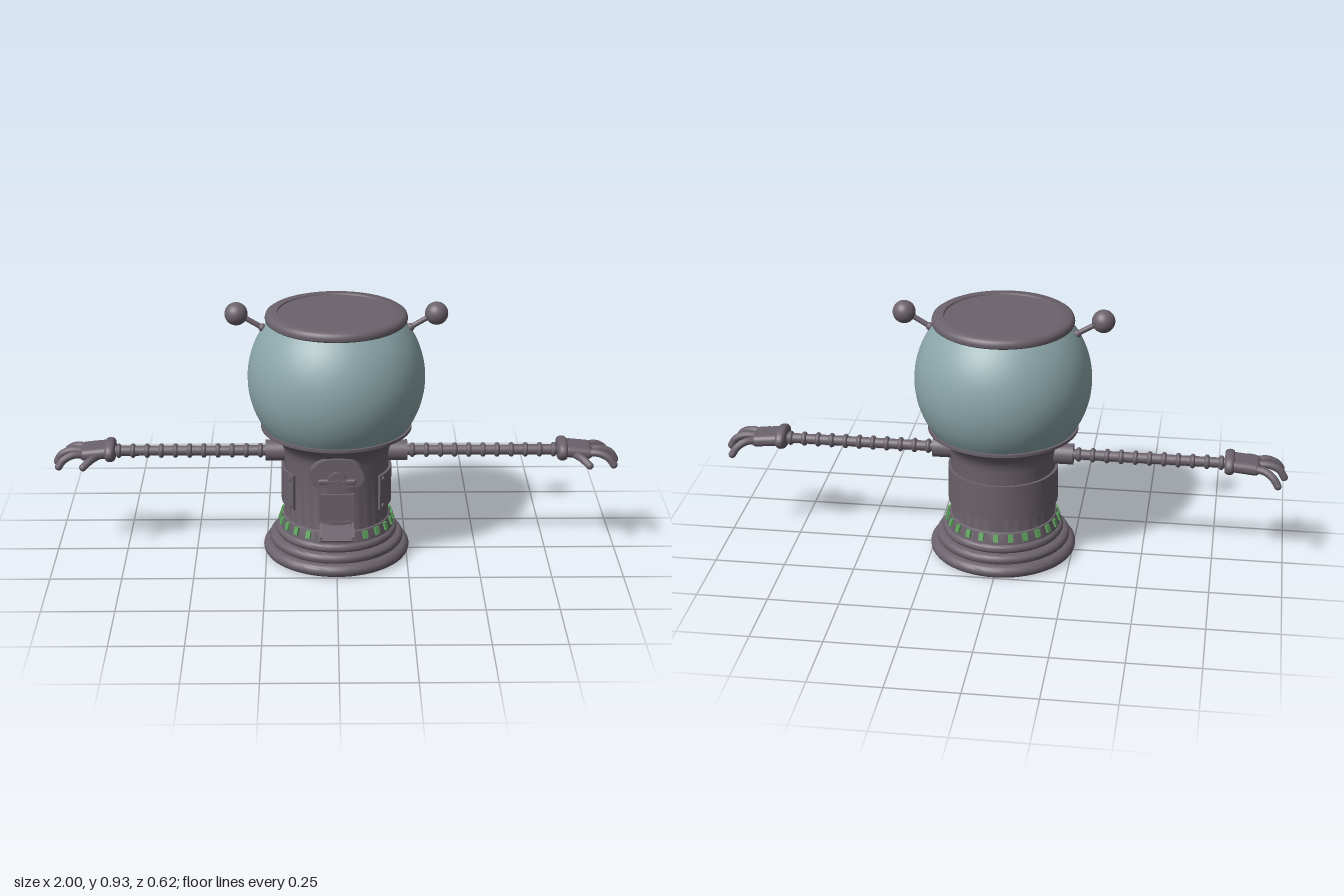
import * as THREE from 'three';
import { toCreasedNormals } from 'three/addons/utils/BufferGeometryUtils.js';
import { RoundedBoxGeometry } from 'three/addons/geometries/RoundedBoxGeometry.js';

const metal = new THREE.MeshStandardMaterial({ color: 0x6b626b });
const glass = new THREE.MeshStandardMaterial({ color: 0x8ba6a9 });
const green = new THREE.MeshStandardMaterial({ color: 0x5fa35f });
const V = (x, y, z) => new THREE.Vector3(x, y, z);

export function createModel() {
  const root = new THREE.Group();

  function add(name, geo, pos = [0, 0, 0], mat = metal, parent = root) {
    const mesh = new THREE.Mesh(geo, mat);
    mesh.name = name;
    mesh.position.set(...pos);
    parent.add(mesh);
    return mesh;
  }
  const lathe = (pts, seg = 64) => toCreasedNormals(
    new THREE.LatheGeometry(pts.map(p => new THREE.Vector2(...p)), seg), 0.7);
  // disc with a softly rounded rim, from y0 to y1
  function roundDisc(r, y0, y1) {
    const h = (y1 - y0) / 2, pts = [[0, y0]];
    for (let i = 0; i <= 8; i++) {
      const a = -Math.PI / 2 + i * Math.PI / 8;
      pts.push([r - h + h * Math.cos(a), y0 + h + h * Math.sin(a)]);
    }
    pts.push([0, y1]);
    return lathe(pts);
  }
  // cylinder between two points
  function rod(name, a, b, r, parent, seg = 20) {
    const m = add(name, new THREE.CylinderGeometry(r, r, a.distanceTo(b), seg),
      a.clone().add(b).multiplyScalar(0.5).toArray(), metal, parent);
    m.quaternion.setFromUnitVectors(V(0, 1, 0), b.clone().sub(a).normalize());
    return m;
  }

  // stepped base
  [[0.26, 0, 0.045], [0.238, 0.042, 0.078], [0.216, 0.075, 0.108]].forEach(
    ([r, a, b], i) => add('baseRing' + (i + 1), roundDisc(r, a, b)));

  // column with flared collar
  add('column', lathe([[0, 0.1], [0.203, 0.1], [0.203, 0.112], [0.191, 0.145], [0.185, 0.148],
    [0.185, 0.38], [0.188, 0.402], [0.197, 0.422], [0.215, 0.442], [0.238, 0.46], [0.257, 0.471],
    [0.265, 0.475], [0.265, 0.485], [0, 0.485]]));

  // ring of lamps
  const lamps = new THREE.Group();
  lamps.name = 'lamps';
  root.add(lamps);
  for (let i = 0; i < 24; i++) {
    const a = i * Math.PI / 12;
    const m = add('lamp', new THREE.BoxGeometry(0.018, 0.028, 0.014),
      [0.197 * Math.sin(a), 0.13, 0.197 * Math.cos(a)], green, lamps);
    m.rotation.set(-0.3, a, 0, 'YXZ');
  }

  // globe
  const globePts = [];
  for (let i = 0; i <= 28; i++) {
    const y = 0.483 + i * 0.382 / 28;
    globePts.push([Math.sqrt(0.309 ** 2 - (y - 0.658) ** 2), y]);
  }
  add('globe', lathe(globePts), [0, 0, 0], glass);

  // lid with a slightly recessed centre
  add('lid', lathe([[0, 0.861], [0.238, 0.861], [0.245, 0.866], [0.247, 0.876], [0.243, 0.888],
    [0.234, 0.894], [0.205, 0.895], [0.203, 0.89], [0, 0.89]]));

  // curved panel wrapping the back, edges at the front corners
  const edge = Math.atan2(0.152, 0.12), sweep = 2 * Math.PI - 2 * edge;
  const panelGeo = toCreasedNormals(new THREE.LatheGeometry([[0.18, 0.2], [0.195, 0.2],
    [0.195, 0.33], [0.18, 0.33]].map(p => new THREE.Vector2(...p)), 48, edge, sweep), 0.7);
  add('backPanel', panelGeo);
  for (const s of [-1, 1]) {
    const m = add('panelEdge', new THREE.BoxGeometry(0.002, 0.13, 0.015),
      [s * 0.1875 * Math.sin(edge), 0.265, 0.1875 * Math.cos(edge)]);
    m.rotation.y = s * edge;
    for (const y of [0.214, 0.316]) {
      const a = edge + 0.08;
      const dir = V(s * Math.sin(a), 0, Math.cos(a));
      const p = dir.clone().multiplyScalar(0.19).setY(y);
      rod('bolt', p, p.clone().addScaledVector(dir, 0.01), 0.008, root, 12);
    }
  }

  // coin plate: three-lobed outline
  const plate = new THREE.Shape();
  plate.moveTo(-0.075, 0.33);
  plate.lineTo(-0.04, 0.325);
  plate.lineTo(0.04, 0.325);
  plate.lineTo(0.075, 0.33);
  plate.quadraticCurveTo(0.1, 0.345, 0.09, 0.385);
  plate.quadraticCurveTo(0.075, 0.41, 0.05, 0.425);
  plate.quadraticCurveTo(0, 0.438, -0.05, 0.425);
  plate.quadraticCurveTo(-0.075, 0.41, -0.09, 0.385);
  plate.quadraticCurveTo(-0.1, 0.345, -0.075, 0.33);
  add('coinPlate', toCreasedNormals(new THREE.ExtrudeGeometry(plate,
    { depth: 0.065, bevelEnabled: false, curveSegments: 8 }), 0.6), [0, 0, 0.15]);
  // turning knob
  rod('knobShaft', V(0, 0.36, 0.2), V(0, 0.36, 0.255), 0.011);
  rod('knobDisc', V(0, 0.36, 0.221), V(0, 0.36, 0.229), 0.022, root, 28);
  rod('knob', V(0, 0.36, 0.232), V(0, 0.36, 0.246), 0.033, root, 28);
  add('knobHandle', new RoundedBoxGeometry(0.13, 0.018, 0.014, 3, 0.006), [0, 0.36, 0.24]);

  // dispensing chute: frame, backing door, sloped tray
  const frame = new THREE.Shape();
  const rect = (p, x, y0, y1) => {
    p.moveTo(-x, y0); p.lineTo(x, y0); p.lineTo(x, y1); p.lineTo(-x, y1); p.closePath();
    return p;
  };
  rect(frame, 0.06, 0.185, 0.29);
  frame.holes.push(rect(new THREE.Path(), 0.05, 0.19, 0.28));
  add('chuteFrame', new THREE.ExtrudeGeometry(frame, { depth: 0.035, bevelEnabled: false }), [0, 0, 0.158]);
  add('chuteDoor', new THREE.BoxGeometry(0.11, 0.1, 0.03), [0, 0.236, 0.172]);
  const traySide = new THREE.Shape([[0.17, 0.168], [0.25, 0.135], [0.25, 0.155], [0.185, 0.19], [0.17, 0.19]]
    .map(p => new THREE.Vector2(...p)));
  const trayGeo = new THREE.ExtrudeGeometry(traySide, { depth: 0.01, bevelEnabled: false });
  for (const x of [-0.06, 0.05]) add('trayWall', trayGeo, [x + 0.01, 0, 0]).rotation.y = -Math.PI / 2;
  const tray = add('trayFloor', new THREE.BoxGeometry(0.11, 0.008, 0.086), [0, 0.156, 0.211]);
  tray.rotation.x = 0.4;

  // antennae and arms on both sides
  for (const s of [-1, 1]) {
    const side = s > 0 ? 'left' : 'right';
    const antenna = new THREE.Group();
    antenna.name = side + 'Antenna';
    root.add(antenna);
    rod('antennaRod', V(s * 0.235, 0.825, 0), V(s * 0.345, 0.89, 0), 0.009, antenna);
    add('antennaFoot', new THREE.SphereGeometry(0.014, 16, 12), [s * 0.256, 0.837, 0], metal, antenna);
    add('antennaBall', new THREE.SphereGeometry(0.04, 32, 20), [s * 0.345, 0.887, 0], metal, antenna);

    const arm = new THREE.Group();
    arm.name = side + 'Arm';
    root.add(arm);
    const Y = 0.38;
    rod('shoulderSocket', V(s * 0.16, Y, 0), V(s * 0.25, Y, 0), 0.037, arm, 32);
    rod('hose', V(s * 0.24, Y, 0), V(s * 0.8, Y, 0), 0.018, arm);
    for (let i = 0; i < 11; i++) {
      const ring = add('hoseRing', new THREE.TorusGeometry(0.017, 0.009, 10, 24), [s * (0.268 + i * 0.05), Y, 0], metal, arm);
      ring.rotation.y = Math.PI / 2;
    }

    // hand: cuff, palm, three fingers and a thumb
    const hand = new THREE.Group();
    hand.name = side + 'Hand';
    arm.add(hand);
    const cuff = add('cuff', roundDisc(0.068, -0.017, 0.017), [s * 0.797, 0.385, 0], metal, hand);
    cuff.rotation.z = Math.PI / 2;
    cuff.scale.x = 0.58;
    const palm = add('palm', new RoundedBoxGeometry(0.11, 0.042, 0.11, 5, 0.02), [s * 0.85, 0.382, -0.002], metal, hand);
    palm.rotation.z = -s * 0.1;
    const fingers = {
      thumb: [[0.835, 0.375, 0.03], [0.86, 0.373, 0.07], [0.885, 0.357, 0.098]],
      foreFinger: [[0.88, 0.38, 0.035], [0.925, 0.382, 0.046], [0.958, 0.367, 0.055], [0.975, 0.345, 0.06]],
      middleFinger: [[0.88, 0.38, 0], [0.935, 0.382, -0.002], [0.97, 0.367, -0.004], [0.987, 0.34, -0.005]],
      littleFinger: [[0.875, 0.38, -0.035], [0.92, 0.38, -0.054], [0.95, 0.362, -0.068], [0.966, 0.338, -0.076]],
    };
    for (const [name, pts] of Object.entries(fingers)) {
      const path = pts.map(p => V(s * p[0], p[1], p[2]));
      add(name, new THREE.TubeGeometry(new THREE.CatmullRomCurve3(path), 16, 0.0135, 12), [0, 0, 0], metal, hand);
      add(name + 'Tip', new THREE.SphereGeometry(0.0135, 14, 10), path.at(-1).toArray(), metal, hand);
    }
  }
  return root;
}
